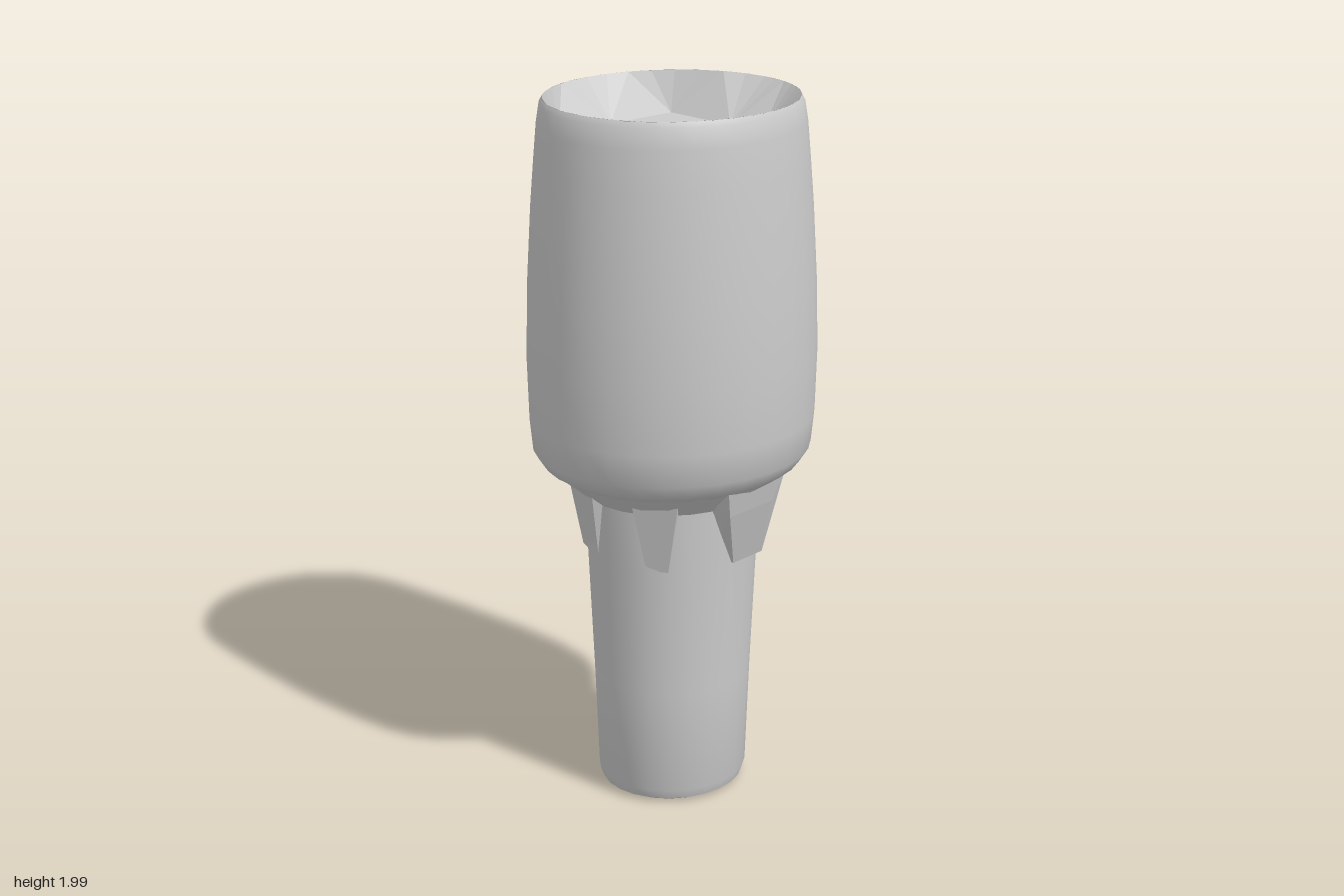
import * as THREE from 'three';
import { toCreasedNormals } from 'three/addons/utils/BufferGeometryUtils.js';
import { ConvexGeometry } from 'three/addons/geometries/ConvexGeometry.js';

const OVAL = 0.94; // plan is slightly narrower in x than in z

export function createModel() {
  const group = new THREE.Group();
  const smooth = new THREE.MeshStandardMaterial({ color: 0xcccccc, side: THREE.DoubleSide });
  const faceted = new THREE.MeshStandardMaterial({ color: 0xcccccc, side: THREE.DoubleSide, flatShading: true });

  const add = (name, geometry, material) => {
    const mesh = new THREE.Mesh(geometry, material);
    mesh.name = name;
    group.add(mesh);
  };

  // Oval turned shell from [radius, height] pairs, bottom to top
  const turned = (profile, sides) => {
    const g = new THREE.LatheGeometry(profile.map(([r, y]) => new THREE.Vector2(r, y)), sides);
    g.scale(OVAL, 1, 1);
    return toCreasedNormals(g, 0.55);
  };

  // Tapered shaft with a rounded foot and a flare under the head
  add('shaft', turned([
    [0, 0.01], [0.185, 0.01], [0.207, 0.022], [0.217, 0.05], [0.228, 0.35],
    [0.245, 0.73], [0.255, 0.9], [0.345, 0.975],
  ], 24), smooth);

  // Barrel-shaped head
  add('head', turned([
    [0.24, 0.96], [0.33, 0.965], [0.37, 0.99], [0.397, 1.03], [0.406, 1.12], [0.411, 1.3],
    [0.405, 1.5], [0.393, 1.7], [0.383, 1.82], [0.373, 1.93], [0.364, 1.985], [0.355, 2.0],
  ], 32), smooth);

  // Recess in the top: faceted walls sloping from the rim to an uneven floor
  const floorPts = [
    [0.21, -0.13], [0.21, 0.06], [0.19, 0.24], [0.12, 0.27], [-0.2, 0.245],
    [-0.25, 0.18], [-0.24, 0], [-0.23, -0.22], [0.0, -0.22], [0.12, -0.22],
  ];
  const floorY = 1.885;
  const rimAt = (a) => new THREE.Vector3(0.355 * OVAL * Math.cos(a), 2, 0.355 * Math.sin(a));
  const verts = [];
  const tri = (...pts) => pts.forEach((p) => verts.push(p.x, p.y, p.z));
  const centre = new THREE.Vector3(0, floorY, 0);
  floorPts.forEach(([x, z], i) => {
    const [x2, z2] = floorPts[(i + 1) % floorPts.length];
    const a = new THREE.Vector3(x, floorY, z);
    const b = new THREE.Vector3(x2, floorY, z2);
    const t1 = Math.atan2(z, x);
    let t2 = Math.atan2(z2, x2);
    if (t2 < t1) t2 += Math.PI * 2;
    tri(centre, b, a);
    // wall: fan of facets up to the rim, split at the middle
    const steps = 4;
    for (let s = 0; s < steps; s++) {
      const r1 = rimAt(t1 + ((t2 - t1) * s) / steps);
      const r2 = rimAt(t1 + ((t2 - t1) * (s + 1)) / steps);
      tri(s < steps / 2 ? a : b, r2, r1);
    }
    tri(a, b, rimAt((t1 + t2) / 2));
  });
  const recess = new THREE.BufferGeometry();
  recess.setAttribute('position', new THREE.Float32BufferAttribute(verts, 3));
  recess.computeVertexNormals();
  add('topRecess', recess, faceted);

  // Wedge braces between shaft and head; angle is measured from +x towards +z
  const brace = (name, angle, topHalf, footHalf, shift, reach) => {
    const pts = [
      [0.15, 0.98, topHalf], [reach + 0.02, 0.98, topHalf], [reach, 0.9, topHalf * 0.75],
      [0.237, 0.73, footHalf], [0.15, 0.73, footHalf],
    ].flatMap(([r, y, h]) => [-h, h].map((s) => new THREE.Vector3(
      r, y, s + (y < 0.8 ? shift : 0),
    )));
    const g = new ConvexGeometry(pts);
    g.rotateY(-angle);
    add(name, g, faceted);
  };
  brace('sideBrace', -0.06, 0.115, 0.06, -0.05, 0.29);
  brace('frontBrace', Math.PI * 0.62, 0.1, 0.06, 0.02, 0.262);
  brace('frontCornerBrace', Math.PI * 0.3, 0.07, 0.03, 0, 0.268);
  brace('backBrace', -Math.PI * 0.36, 0.08, 0.05, 0, 0.265);
  brace('backCornerBrace', -Math.PI * 0.72, 0.08, 0.04, 0, 0.265);

  return group;
}
